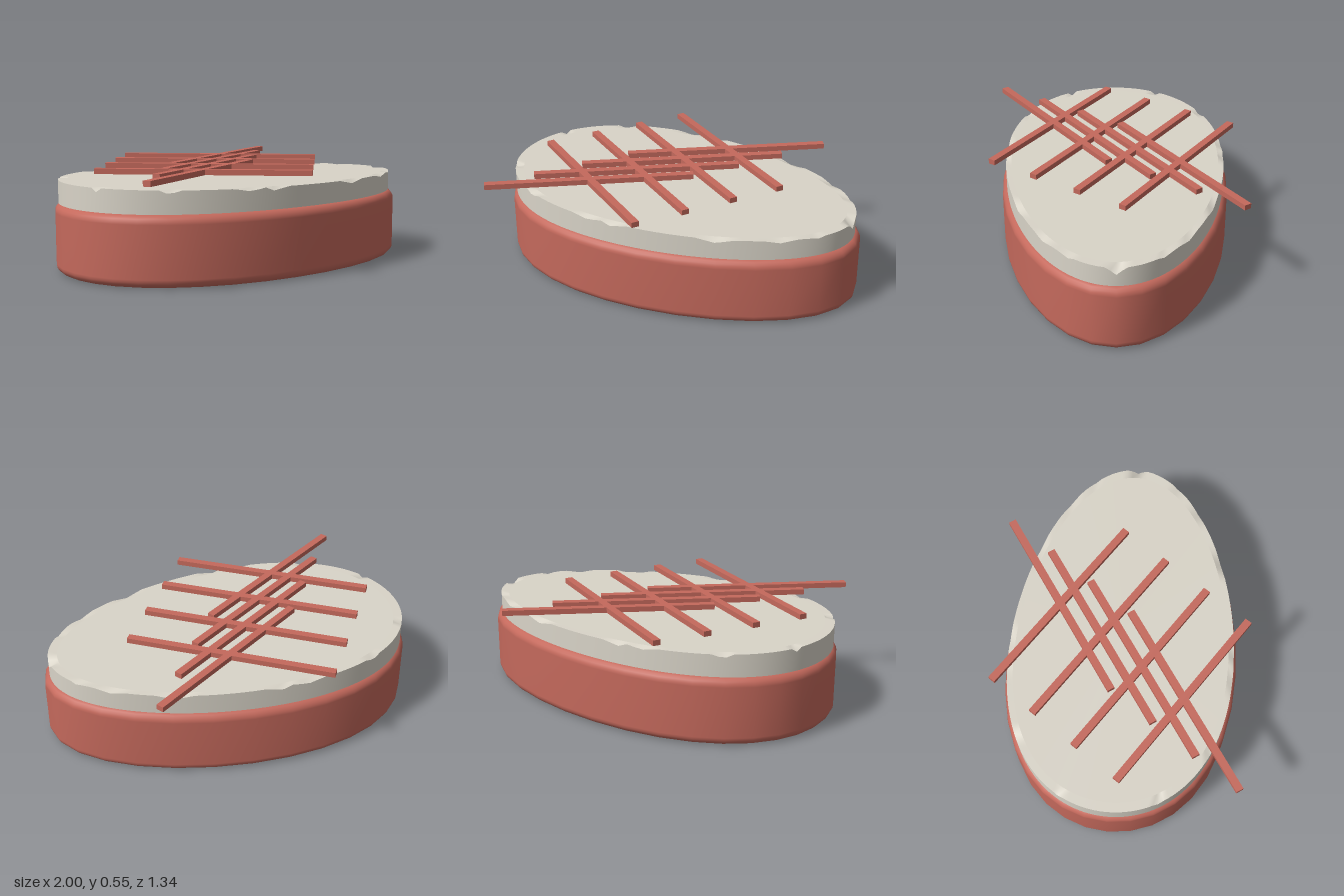
import * as THREE from 'three';
import { mergeGeometries } from 'three/addons/utils/BufferGeometryUtils.js';

// Egg-shaped outline: an ellipse whose widest part is pushed towards -x
function outline(t, inset, y, scale = 1) {
  const s = Math.sin(t);
  return [((1 - inset) * Math.cos(t) - 0.15 * s * s) * scale, y, (0.62 - inset) * s * scale];
}

// Closed skin through a stack of rings, each a function of the angle, listed bottom to top
function loft(rings, segments) {
  const positions = [], index = [];
  rings.forEach((ring, i) => {
    for (let j = 0; j < segments; j++) {
      positions.push(...ring((j / segments) * Math.PI * 2));
      if (i === rings.length - 1) continue;
      const a = i * segments + j, b = i * segments + ((j + 1) % segments);
      index.push(a, a + segments, b, b, a + segments, b + segments);
    }
  });
  const geometry = new THREE.BufferGeometry();
  geometry.setAttribute('position', new THREE.Float32BufferAttribute(positions, 3));
  geometry.setIndex(index);
  geometry.computeVertexNormals();
  return geometry;
}

// Base with rounded lower and upper edges
function baseGeometry() {
  const height = 0.36, radius = 0.045, steps = 5, rings = [];
  for (const top of [false, true]) {
    for (let k = 0; k <= steps; k++) {
      const a = ((top ? k : steps - k) / steps) * Math.PI / 2;
      const inset = radius * (1 - Math.cos(a));
      const rise = radius * (1 - Math.sin(a));
      rings.push(t => outline(t, inset, top ? height - rise : rise));
    }
  }
  const cap = (y, scale) => t => outline(t, radius, y, scale);
  return mergeGeometries([
    loft([cap(0, 0), cap(0, 1)], 32),
    loft(rings, 32),
    loft([cap(height, 1), cap(height, 0)], 32),
  ]);
}

// Chips in the upper rim: angle, depth, half width; mirrored in z
const chips = [[0, 0.04, 0.08], [0.4, 0.012, 0.06], [0.64, 0.014, 0.09], [0.98, 0.02, 0.1],
  [1.51, 0.022, 0.06], [1.66, 0.015, 0.09], [2.14, 0.022, 0.06], [2.7, 0.02, 0.05]];

function slabGeometry() {
  const bottom = 0.362, inset = 0.025;
  const flat = t => 0.474 - 0.009 * outline(t, inset, 0)[0];
  const chipped = t => {
    const angle = Math.min(t, Math.PI * 2 - t);
    return chips.reduce((y, [at, depth, width]) =>
      y - depth * Math.max(0, 1 - Math.abs(angle - at) / width), flat(t));
  };
  const edge = t => outline(t, inset, chipped(t));
  const foot = t => outline(t, inset, bottom);
  return mergeGeometries([
    loft([t => outline(t, inset, bottom, 0), foot], 128),
    loft([foot, edge], 128),
    loft([edge, t => outline(t, inset, flat(t), 0.95)], 128).toNonIndexed(),
    loft([t => outline(t, inset, flat(t), 0.95), t => outline(t, inset, 0.474, 0)], 128),
  ].map(g => {
    const part = g.index ? g.toNonIndexed() : g;
    return part;
  }));
}

export function createModel() {
  const model = new THREE.Group();
  const red = new THREE.MeshStandardMaterial({ color: 0xc4695c });
  red.name = 'brick red';
  const cream = new THREE.MeshStandardMaterial({ color: 0xd9d4c8 });
  cream.name = 'pale cream';

  const add = (parent, name, geometry, material) => {
    const mesh = new THREE.Mesh(geometry, material);
    mesh.name = name;
    parent.add(mesh);
    return mesh;
  };

  add(model, 'base', baseGeometry(), red);
  add(model, 'topLayer', slabGeometry(), cream).position.x = -0.006;

  // Floating lattice: four crossed pairs of bars
  const lattice = new THREE.Group();
  lattice.name = 'lattice';
  model.add(lattice);
  const bar = new THREE.BoxGeometry(1.1, 0.028, 0.04);
  for (let i = 0; i < 4; i++) {
    const k = i - 1.5;
    for (const side of [-1, 1]) {
      const mesh = add(lattice, 'latticeBar', bar, red);
      mesh.position.set(-0.14 - 0.157 * k, 0.54, 0.229 * k);
      mesh.rotation.y = side * 0.6;
    }
  }
  return model;
}
